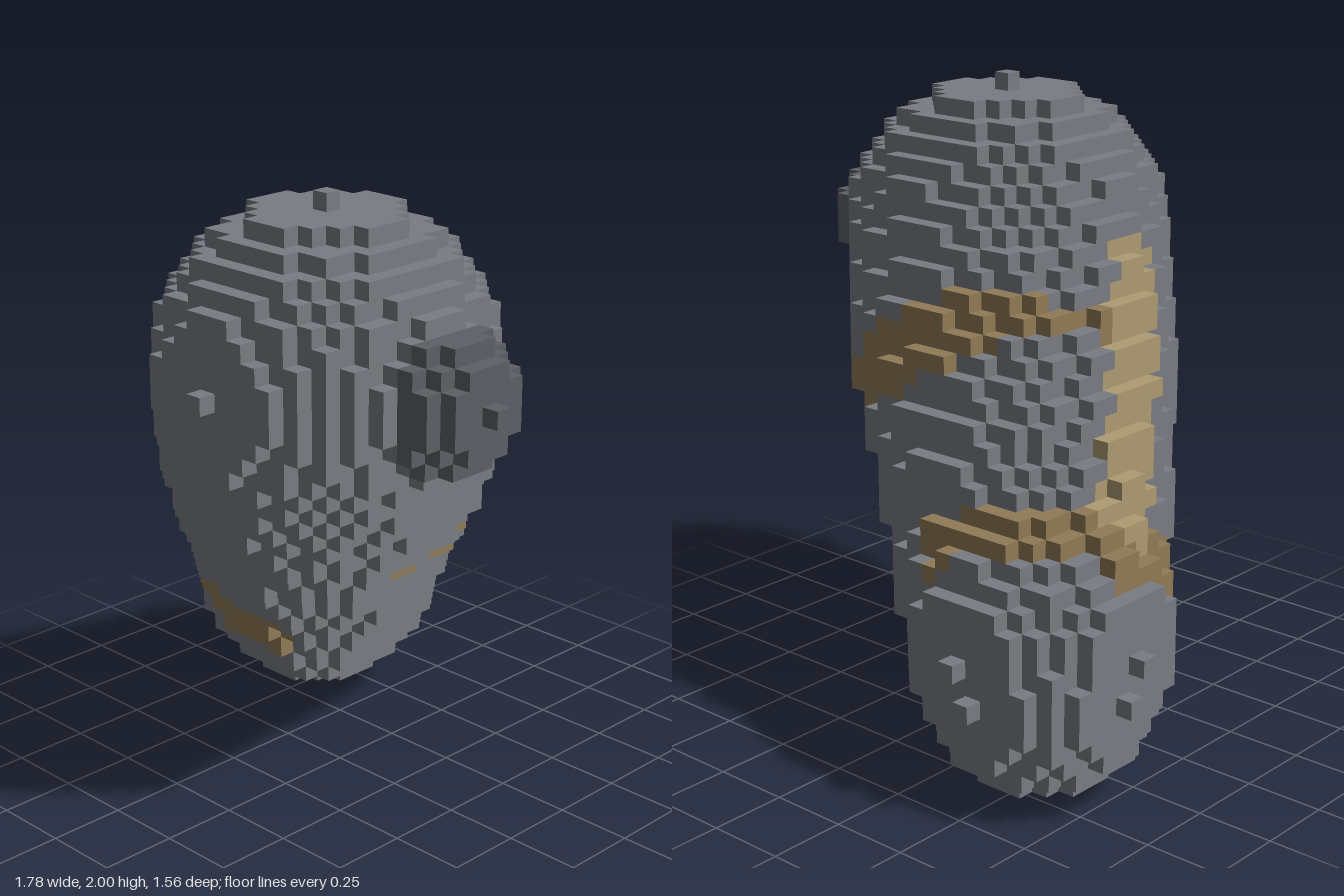
import * as THREE from 'three';
import { mergeGeometries } from 'three/addons/utils/BufferGeometryUtils.js';

const U = 2 / 36;                       // edge of one cube
const NX = 32, NY = 36, NZ = 28;        // grid size

const COLORS = { body: 0x797c82, nose: 0x5e6066, stripes: 0x907b56, backStrip: 0xae9b72 };

// Spheres along the body: centre cell and radius, from the tail to the head
const CHAIN = [
  [6, 6, 6, 6], [7, 8, 7, 7], [10.2, 12, 9.8, 7.3],
  [12.5, 16, 12, 8], [16.5, 21.5, 15.5, 9], [19, 26, 18, 9],
];
const NOSE = [27, 26, 18, 4];

// Body axis, direction of the strip on the back, and the direction across it
const TAIL = new THREE.Vector3(-0.53, 0.36, -0.42);
const AXIS = new THREE.Vector3(13, 20, 12).normalize();
const STRIP = new THREE.Vector3(-0.81, 0.575, -0.08).normalize();
const ACROSS = new THREE.Vector3().crossVectors(AXIS, STRIP).normalize();

// Which part a body cube belongs to, by its place along and around the axis
function paint(i, j, k) {
  const p = new THREE.Vector3((i + 0.5 - NX / 2) * U, (j + 0.5) * U, (k + 0.5 - NZ / 2) * U);
  const s = p.dot(AXIS);
  const off = p.sub(TAIL).addScaledVector(AXIS, -(s - TAIL.dot(AXIS)));
  // strip along the back, drifting forward towards the head
  const drift = 0.07 + 0.08 * (s - 0.2);
  if (s > 0.13 && s < 1.12 && off.dot(STRIP) > 0 && Math.abs(off.dot(ACROSS) - drift) < 0.1) return 'backStrip';
  // lower stripe, open on the left side and broader in front
  if (off.z > -0.05) {
    const tilted = s - 0.35 * Math.min(0, off.x + 0.05);
    if (Math.abs(off.x + 0.1) < 0.24 && tilted > 0.05 && tilted < 0.3) return 'stripes';
  } else if (off.x < 0.12 && s > 0.08 && s < 0.24) return 'stripes';
  // upper stripe, widening towards the back
  if (Math.abs(s - 0.78) < Math.min(0.11, 0.025 - 0.22 * off.z)) return 'stripes';
  return 'body';
}

export function createModel() {
  const group = new THREE.Group();
  const cells = new Map();
  const key = (i, j, k) => (i < 0 || j < 0 || k < 0 || i >= NX || j >= NY || k >= NZ)
    ? -1 : (i * NY + j) * NZ + k;

  // Fill a ball of cubes
  function ball([cx, cy, cz, r], part) {
    for (let i = Math.ceil(cx - r); i <= cx + r; i++)
      for (let j = Math.ceil(cy - r); j <= cy + r; j++)
        for (let k = Math.ceil(cz - r); k <= cz + r; k++) {
          const d2 = (i - cx) ** 2 + (j - cy) ** 2 + (k - cz) ** 2;
          const id = key(i, j, k);
          if (d2 <= r * r + 1e-6 && id >= 0 && !cells.has(id))
            cells.set(id, { i, j, k, part: part || paint(i, j, k) });
        }
  }

  // Tapered body, swept between the spheres of the chain
  for (let n = 0; n < CHAIN.length - 1; n++)
    for (let m = 0; m <= 6; m++)
      ball(CHAIN[n].map((v, c) => v + (CHAIN[n + 1][c] - v) * m / 6));
  ball(NOSE, 'nose');

  // One square for each of the six sides of a cube
  const h = Math.PI / 2;
  const sides = [
    [1, 0, 0, 0, h], [-1, 0, 0, 0, -h], [0, 1, 0, -h, 0],
    [0, -1, 0, h, 0], [0, 0, 1, 0, 0], [0, 0, -1, 0, Math.PI],
  ].map(([x, y, z, rx, ry]) => ({
    x, y, z,
    square: new THREE.PlaneGeometry(U, U).rotateX(rx).rotateY(ry)
      .translate(x * U / 2, y * U / 2, z * U / 2),
  }));

  // Keep only the exposed squares, one mesh per part
  const faces = { body: [], nose: [], stripes: [], backStrip: [] };
  for (const { i, j, k, part } of cells.values())
    for (const { x, y, z, square } of sides)
      if (!cells.has(key(i + x, j + y, k + z)))
        faces[part].push(square.clone().translate(
          (i + 0.5 - NX / 2) * U, (j + 0.5) * U, (k + 0.5 - NZ / 2) * U));

  for (const [name, list] of Object.entries(faces)) {
    const mesh = new THREE.Mesh(mergeGeometries(list),
      new THREE.MeshStandardMaterial({ color: COLORS[name] }));
    mesh.name = name;
    group.add(mesh);
  }
  return group;
}
